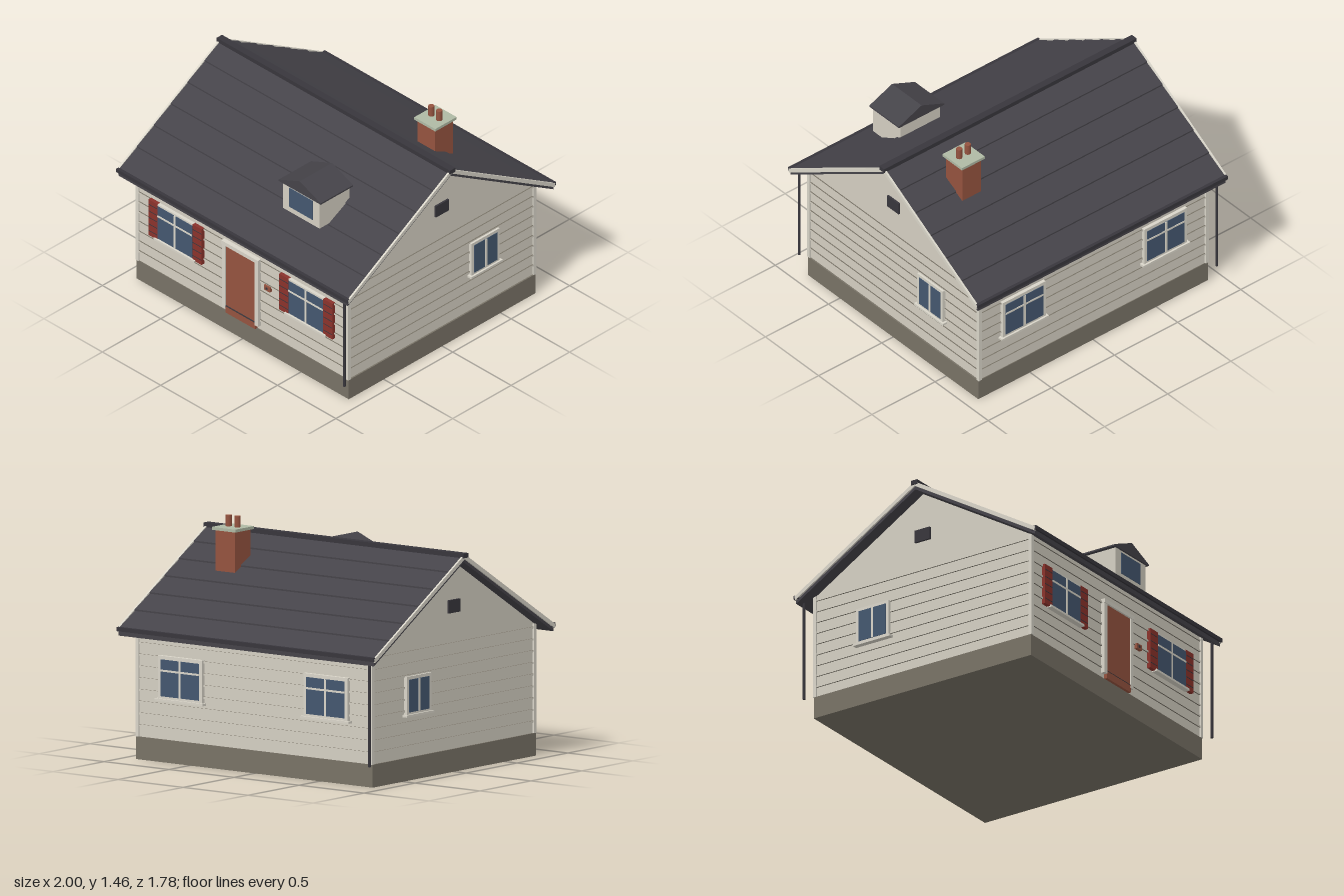
import * as THREE from 'three';

const mat = (name, color) => {
  const m = new THREE.MeshStandardMaterial({ color });
  m.name = name;
  return m;
};

export function createModel() {
  const wall = mat('wall cream', 0xd4cfc2);
  const trim = mat('trim cream', 0xd9d5c9);
  const stone = mat('foundation stone', 0x787266);
  const slate = mat('roof slate', 0x454349);
  const iron = mat('gutter iron', 0x38363c);
  const glass = mat('window glass', 0x44576f);
  const red = mat('shutter red', 0x8a322b);
  const brick = mat('brick', 0x95533f);
  const sage = mat('sage stone', 0xafb9a4);

  const house = new THREE.Group();
  house.name = 'cottage';

  const add = (parent, name, geometry, material, x = 0, y = 0, z = 0) => {
    const m = new THREE.Mesh(geometry, material);
    m.name = name;
    m.position.set(x, y, z);
    parent.add(m);
    return m;
  };
  const box = (parent, name, material, w, h, d, x, y, z) =>
    add(parent, name, new THREE.BoxGeometry(w, h, d), material, x, y, z);
  // Box given by its lower and upper corners
  const span = (name, material, x0, x1, y0, y1, z0, z1) =>
    box(house, name, material, x1 - x0, y1 - y0, z1 - z0, (x0 + x1) / 2, (y0 + y1) / 2, (z0 + z1) / 2);
  // Extrude a (z, y) profile along x, between x0 and x1
  const extrudeX = (name, material, pts, x0, x1) => {
    const shape = new THREE.Shape(pts.map(([z, y]) => new THREE.Vector2(-z, y)));
    const g = new THREE.ExtrudeGeometry(shape, { depth: x1 - x0, bevelEnabled: false });
    g.rotateY(Math.PI / 2);
    return add(house, name, g, material, x0, 0, 0);
  };

  // Foundation and gabled walls
  span('foundation', stone, -0.91, 0.91, 0, 0.14, -0.8, 0.8);
  extrudeX('walls', wall, [[-0.795, 0.14], [0.795, 0.14], [0.795, 0.82], [0, 1.297], [-0.795, 0.82]], -0.9, 0.9);

  // Lapped siding: slim ledges with shaded top and bottom edges
  const lap = [wall, wall, stone, stone, wall, wall];
  for (let y = 0.21; y < 0.8; y += 0.072) {
    box(house, 'sidingLap', lap, 1.816, 0.012, 1.606, 0, y, 0);
  }

  // Corner boards
  for (const x of [-1, 1]) for (const z of [-1, 1]) {
    box(house, 'cornerBoard', trim, 0.024, 0.67, 0.024, x * 0.899, 0.475, z * 0.794);
  }

  // Roof with stepped slate courses
  const slope = 0.603, roofY = (z) => 1.33 - slope * z;
  const half = [[0, roofY(0)]];
  for (let i = 1; i <= 5; i++) {
    const z = i * 0.145;
    half.push([z, roofY(z) + 0.009], [z, roofY(z) - 0.001]);
  }
  half.push([0.88, roofY(0.88) + 0.008]);
  const mirror = (pts) => pts.map(([z, y]) => [-z, y]).reverse();
  const under = (d) => [[0.88, roofY(0.88) - d], [0, roofY(0) - d], [-0.88, roofY(0.88) - d]];
  extrudeX('roof', slate, [...mirror(half).slice(0, -1), ...half, ...under(0.04)], -0.982, 0.982);
  // Barge boards on the gable ends
  const barge = [[-0.885, roofY(0.885) + 0.009], [0, roofY(0) + 0.009], [0.885, roofY(0.885) + 0.009], ...under(0.019)];
  extrudeX('bargeBoard', trim, barge, 0.98, 0.993);
  extrudeX('bargeBoard', trim, barge, -0.993, -0.98);
  span('ridgeCap', iron, -1, 1, 1.318, 1.346, -0.023, 0.023);

  // Gutters and the two downspouts
  for (const s of [-1, 1]) {
    box(house, 'gutter', iron, 1.98, 0.025, 0.035, 0, 0.8, s * 0.875);
    add(house, 'downspout', new THREE.CylinderGeometry(0.009, 0.009, 0.66, 10), iron, s * 0.93, 0.465, s * 0.857);
  }

  // Windows face +z in their own group, then are turned to their wall
  const makeWindow = (name, w, h, frame, crossbar, x, y, z, turn) => {
    const g = new THREE.Group();
    g.name = name;
    g.position.set(x, y, z);
    g.rotation.y = turn;
    house.add(g);
    const gw = w - frame * 2, gh = h - frame * 2;
    box(g, 'windowFrame', trim, w, h, 0.022, 0, 0, 0.011);
    box(g, 'windowGlass', glass, gw, gh, 0.003, 0, 0, 0.0235);
    box(g, 'mullion', trim, 0.015, gh, 0.006, 0, 0, 0.025);
    if (crossbar) box(g, 'crossbar', trim, gw, 0.012, 0.006, 0, gh * 0.2, 0.025);
    box(g, 'windowSill', trim, w + 0.03, 0.014, 0.034, 0, -h / 2, 0.017);
    return g;
  };

  for (const s of [-1, 1]) {
    // Front windows with louvred shutters
    const g = makeWindow('frontWindow', 0.32, 0.26, 0.012, true, s * 0.56, 0.52, 0.795, 0);
    for (const side of [-1, 1]) {
      box(g, 'shutter', red, 0.078, 0.262, 0.024, side * 0.189, 0, 0.012);
      for (let i = -2; i <= 2; i++) {
        box(g, 'shutterGroove', iron, 0.074, 0.005, 0.004, side * 0.189, i * 0.048, 0.023);
      }
    }
    makeWindow('backWindow', 0.34, 0.27, 0.022, true, s * 0.56, 0.52, -0.795, Math.PI);
    makeWindow('sideWindow', 0.24, 0.24, 0.02, false, s * 0.9, 0.52, -0.36, s * Math.PI / 2);
    // Gable vents
    box(house, 'gableVent', iron, 0.02, 0.08, 0.11, s * 0.903, 1.015, 0);
  }

  // Front door, casing, threshold and bell plate
  span('door', brick, -0.13, 0.125, 0.18, 0.636, 0.79, 0.812);
  span('doorStep', brick, -0.128, 0.125, 0.14, 0.19, 0.79, 0.818);
  span('doorSeam', iron, -0.128, 0.123, 0.187, 0.191, 0.812, 0.819);
  span('doorCasing', trim, -0.157, -0.128, 0.17, 0.636, 0.79, 0.82);
  span('doorCasing', trim, 0.123, 0.152, 0.17, 0.636, 0.79, 0.82);
  span('doorLintel', trim, -0.16, 0.155, 0.634, 0.66, 0.79, 0.824);
  span('bellPlate', brick, 0.197, 0.248, 0.467, 0.502, 0.79, 0.814);
  span('bellButton', iron, 0.215, 0.23, 0.478, 0.492, 0.812, 0.817);

  // Dormer
  span('dormerBody', wall, 0.2, 0.515, 0.992, 1.19, 0.4, 0.655);
  span('dormerWindow', glass, 0.255, 0.458, 1.03, 1.168, 0.65, 0.659);
  const gable = new THREE.Shape([[-0.18, 1.183], [0.18, 1.183], [0.18, 1.193], [0, 1.268], [-0.18, 1.193]]
    .map(([x, y]) => new THREE.Vector2(x, y)));
  add(house, 'dormerRoof', new THREE.ExtrudeGeometry(gable, { depth: 0.277, bevelEnabled: false }), slate, 0.356, 0, 0.389);

  // Chimney with cap and two pots
  span('chimney', brick, 0.505, 0.655, 1.05, 1.376, -0.347, -0.193);
  span('chimneyCap', sage, 0.49, 0.67, 1.374, 1.392, -0.363, -0.18);
  for (const x of [0.546, 0.614]) {
    add(house, 'chimneyPot', new THREE.CylinderGeometry(0.019, 0.019, 0.07, 16), brick, x, 1.425, -0.27);
  }

  return house;
}
